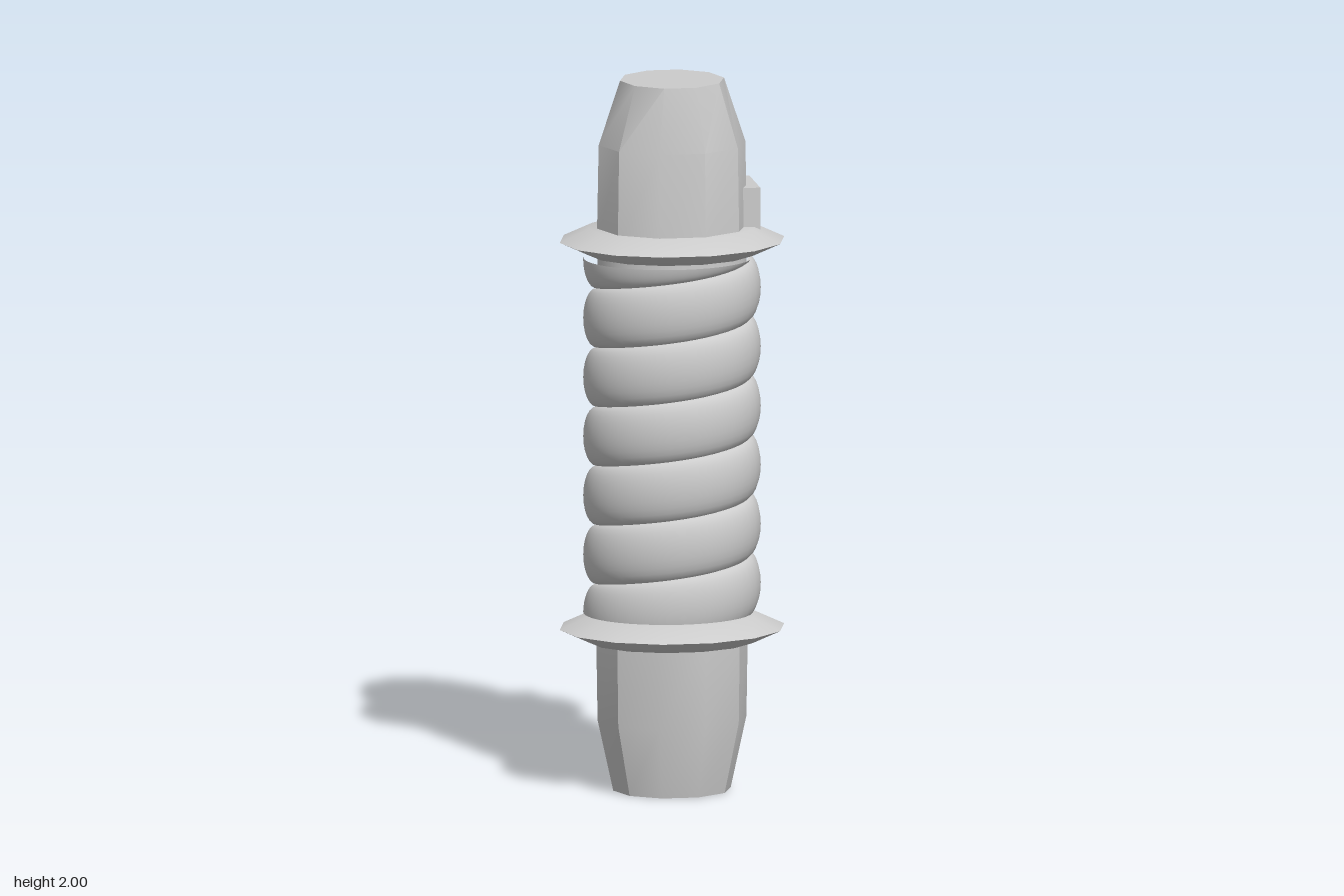
import * as THREE from 'three';
import { toCreasedNormals } from 'three/addons/utils/BufferGeometryUtils.js';

// Closed loft through elliptical rings [y, radiusX, radiusZ], listed bottom to top.
function loft(sides, rings, creaseDegrees) {
  const pos = [], idx = [];
  for (const [y, rx, rz] of rings) {
    for (let j = 0; j < sides; j++) {
      const a = (j / sides) * Math.PI * 2;
      pos.push(rx * Math.cos(a), y, rz * Math.sin(a));
    }
  }
  const last = rings.length - 1;
  for (let j = 0; j < sides; j++) {
    const k = (j + 1) % sides;
    for (let i = 0; i < last; i++) {
      const lo = i * sides, hi = lo + sides;
      idx.push(lo + k, lo + j, hi + j, lo + k, hi + j, hi + k);
    }
    if (j > 0 && j < sides - 1) {
      idx.push(0, j, k); // bottom cap
      idx.push(last * sides, last * sides + k, last * sides + j); // top cap
    }
  }
  const g = new THREE.BufferGeometry();
  g.setAttribute('position', new THREE.Float32BufferAttribute(pos, 3));
  g.setIndex(idx);
  return toCreasedNormals(g, THREE.MathUtils.degToRad(creaseDegrees));
}

// One rounded strand wound round an ellipse, trimmed level at both ends.
function coil(y0, y1, turns, inner, bulge, zScale) {
  const pitch = (y1 - y0) / turns, half = pitch / 2;
  const perTurn = 40, across = 12, steps = (turns + 1) * perTurn;
  const pos = [], idx = [];
  for (let i = 0; i <= steps; i++) {
    const turn = i / perTurn - 0.5;
    const a = turn * Math.PI * 2;
    const yc = y0 + pitch * turn;
    const lo = Math.max(yc - half, y0), hi = Math.min(yc + half, y1);
    for (let k = 0; k <= across; k++) {
      const y = lo + (hi - lo) * (0.5 - 0.5 * Math.cos((k / across) * Math.PI));
      const t = (y - yc) / half;
      const r = inner + bulge * Math.sqrt(Math.max(0, 1 - t * t));
      pos.push(-r * Math.cos(a), y, r * zScale * Math.sin(a));
      if (i < steps && k < across) {
        const p = i * (across + 1) + k, q = p + across + 1;
        idx.push(p, q, p + 1, q, q + 1, p + 1);
      }
    }
  }
  const g = new THREE.BufferGeometry();
  g.setAttribute('position', new THREE.Float32BufferAttribute(pos, 3));
  g.setIndex(idx);
  g.computeVertexNormals();
  return g;
}

export function createModel() {
  const model = new THREE.Group();
  const grey = new THREE.MeshStandardMaterial({ color: 0xcccccc });
  grey.name = 'light grey';

  const add = (name, geometry) => {
    const mesh = new THREE.Mesh(geometry, grey);
    mesh.name = name;
    model.add(mesh);
    return mesh;
  };

  // Tapered ten-sided end pieces
  add('lowerShaft', loft(10, [[0, 0.165, 0.147], [0.2, 0.209, 0.186], [0.45, 0.213, 0.187]], 35));
  add('upperShaft', loft(10, [[1.55, 0.211, 0.187], [1.82, 0.206, 0.184], [2, 0.146, 0.146]], 35));

  // Thin collars with a sharp rim
  for (const [name, y] of [['lowerCollar', 0.457], ['upperCollar', 1.548]]) {
    add(name, loft(14, [
      [y - 0.037, 0.235, 0.2],
      [y, 0.315, 0.272],
      [y + 0.037, 0.235, 0.2],
    ], 35));
  }

  // Wound grip around a hidden core
  add('gripCore', loft(32, [[0.45, 0.207, 0.172], [1.55, 0.207, 0.172]], 35));
  add('coiledGrip', coil(0.5, 1.5, 6, 0.211, 0.036, 0.835));

  // Switch block on the left side
  const block = add('switchBlock', new THREE.BoxGeometry(0.103, 0.12, 0.183));
  block.position.set(0.189, 1.635, -0.047);

  return model;
}
